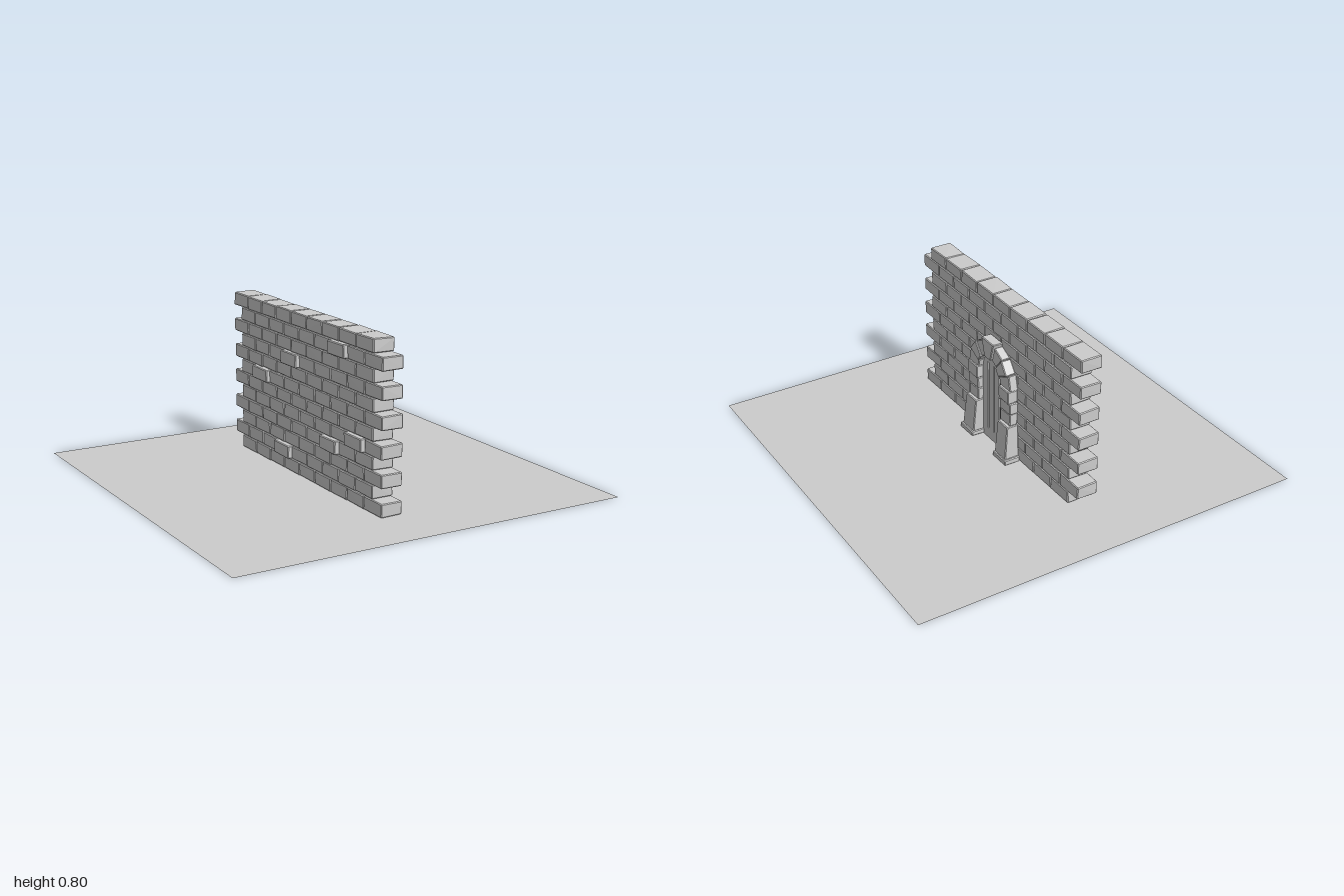
import * as THREE from 'three';
import { ConvexGeometry } from 'three/addons/geometries/ConvexGeometry.js';

const stone = new THREE.MeshStandardMaterial({ color: 0xcccccc, flatShading: true });
const thin = new THREE.MeshStandardMaterial({ color: 0xcccccc, side: THREE.DoubleSide });

let seed = 7;
const rand = () => (seed = (seed * 16807) % 2147483647) / 2147483647;
const jitter = (a) => (rand() * 2 - 1) * a;

// Chamfered six-sided stone; corner(i, j, k) gives the corner for bits along x, y, z
function makeStone(name, corner, bevel = 0.004, wobble = 0.0015) {
  const c = [];
  for (let n = 0; n < 8; n++) {
    const p = corner(n & 1, (n >> 1) & 1, (n >> 2) & 1);
    c.push(p.add(new THREE.Vector3(jitter(wobble), jitter(wobble), jitter(wobble))));
  }
  const points = [];
  for (let n = 0; n < 8; n++) {
    const dirs = [1, 2, 4].map((b) => c[n ^ b].clone().sub(c[n]).setLength(bevel));
    for (let s = 0; s < 3; s++) {
      points.push(c[n].clone().add(dirs[s]).add(dirs[(s + 1) % 3]));
    }
  }
  const mesh = new THREE.Mesh(new ConvexGeometry(points), stone);
  mesh.name = name;
  return mesh;
}

function makeBox(name, x0, x1, y0, y1, z0, z1, bevel, wobble) {
  return makeStone(name, (i, j, k) => new THREE.Vector3(i ? x1 : x0, j ? y1 : y0, k ? z1 : z0), bevel, wobble);
}

// Running-bond wall; a few bricks stand proud of the back
function makeWall() {
  const wall = new THREE.Group();
  wall.name = 'brickWall';
  const rows = 12, perRow = 9, h = 0.8 / rows, len = 0.1467, gap = 0.001;
  const proud = ['10,2', '8,5', '6,7', '4,1', '3,2', '1,5'];
  for (let r = 0; r < rows; r++) {
    const start = r % 2 ? 0.625 : 0.7;
    for (let n = 0; n < perRow; n++) {
      const z1 = start - n * len;
      const back = proud.includes(`${r},${n}`) ? -0.13 : -0.11;
      wall.add(makeBox('brick', back, 0, r * h + gap, (r + 1) * h - gap,
        z1 - len + gap, z1 - gap, 0.004, 0.002));
    }
  }
  return wall;
}

// Arched door leaf with three slots between the planks
function makeDoor() {
  const door = new THREE.Group();
  door.name = 'door';
  const outline = () => {
    const s = new THREE.Shape();
    s.moveTo(-0.105, 0);
    s.lineTo(0.105, 0);
    s.lineTo(0.105, 0.39);
    s.absarc(0, 0.39, 0.105, 0, Math.PI, false);
    s.closePath();
    return s;
  };
  const front = outline();
  for (const z of [-0.052, 0, 0.052]) {
    const slot = new THREE.Path();
    slot.moveTo(z - 0.005, 0.055);
    slot.lineTo(z - 0.005, 0.43);
    slot.lineTo(z + 0.005, 0.43);
    slot.lineTo(z + 0.005, 0.055);
    slot.closePath();
    front.holes.push(slot);
  }
  for (const [name, shape, depth] of [['doorPlanks', front, 0.018], ['doorBacking', outline(), 0.005]]) {
    const geo = new THREE.ExtrudeGeometry(shape, { depth, bevelEnabled: false, curveSegments: 10 });
    geo.rotateY(Math.PI / 2);
    const mesh = new THREE.Mesh(geo, stone);
    mesh.name = name;
    door.add(mesh);
  }
  return door;
}

// Stone surround: feet, tapered piers, jamb stones and a ring of arch stones
function makeSurround() {
  const group = new THREE.Group();
  group.name = 'doorSurround';
  const jambs = [
    [0.2, 0.265, 0.045, 0.185], [0.265, 0.325, 0.048, 0.19], [0.325, 0.392, 0.055, 0.185],
  ];
  for (const side of [1, -1]) {
    group.add(makeBox('foot', 0, 0.085, 0.001, 0.028, side * 0.097, side * 0.207));
    group.add(makeStone('pier', (i, j, k) => new THREE.Vector3(
      i ? (j ? 0.061 : 0.077) : 0, j ? 0.2 : 0.025, side * (k ? (j ? 0.19 : 0.198) : 0.1))));
    for (const [y0, y1, depth, outer] of jambs) {
      group.add(makeBox('jambStone', 0, depth, y0, y1, side * 0.1, side * outer));
    }
  }

  // Angles are measured from straight up
  const archStone = (name, a0, a1, inner, outer, depth) => makeStone(name, (i, j, k) => {
    const a = THREE.MathUtils.degToRad(k ? a1 : a0);
    const r = j ? outer : inner;
    return new THREE.Vector3(i ? depth : 0, 0.39 + r * Math.cos(a), r * Math.sin(a));
  });
  for (const side of [1, -1]) {
    group.add(archStone('archStone', side * 90, side * 65, 0.1, 0.188, 0.045));
    group.add(archStone('archStone', side * 65, side * 40, 0.1, 0.182, 0.052));
    group.add(archStone('archStone', side * 40, side * 16, 0.1, 0.182, 0.047));
  }
  group.add(archStone('keystone', -16, 16, 0.1, 0.2, 0.056));
  return group;
}

export function createModel() {
  const model = new THREE.Group();
  model.name = 'wallWithDoor';
  const ground = new THREE.Mesh(new THREE.PlaneGeometry(2, 2).rotateX(-Math.PI / 2), thin);
  ground.name = 'groundPlate';
  model.add(ground, makeWall(), makeDoor(), makeSurround());
  return model;
}
